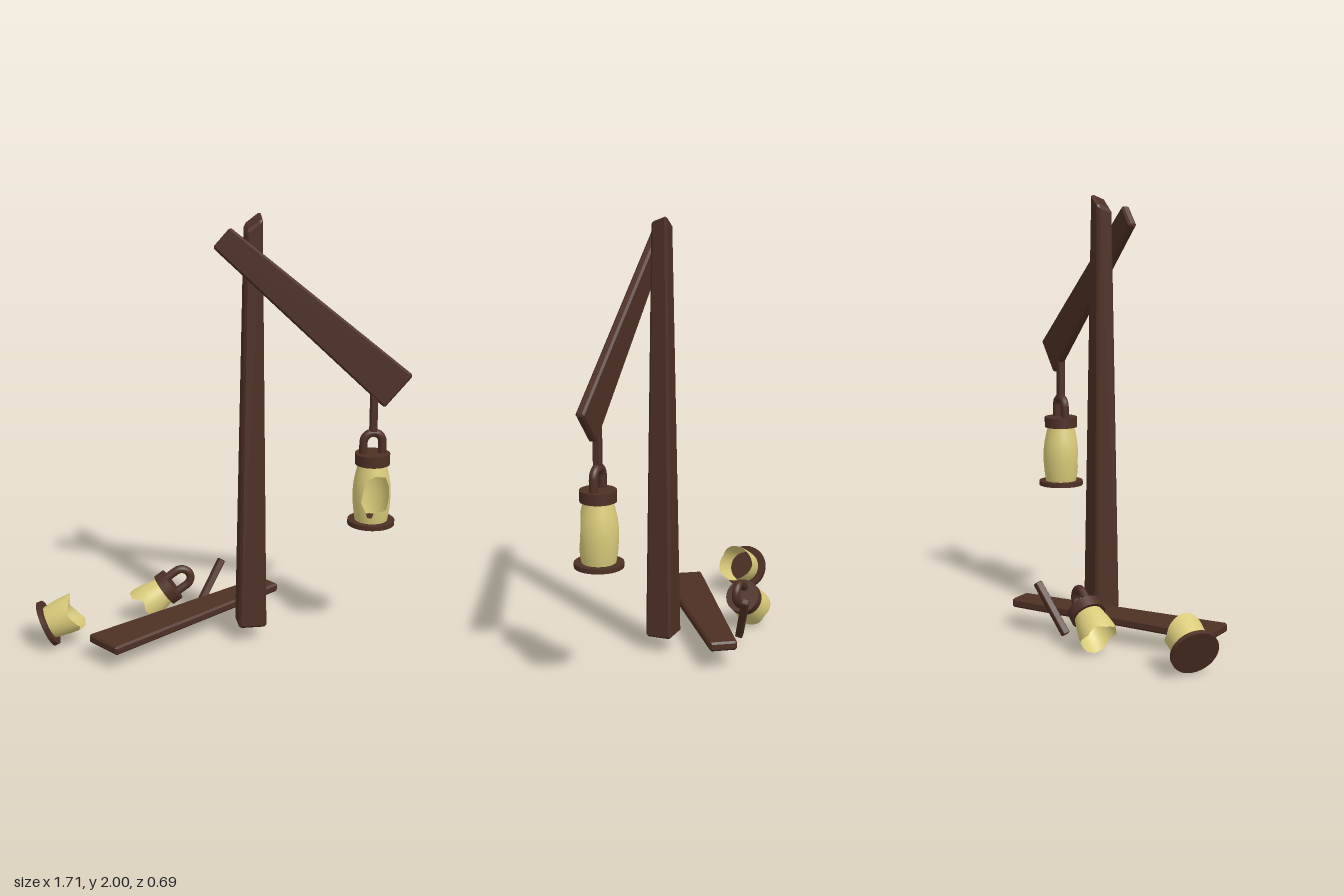
import * as THREE from 'three';
import { ConvexGeometry } from 'three/addons/geometries/ConvexGeometry.js';

const wood = new THREE.MeshStandardMaterial({ color: 0x4d3024 });
const glassMat = new THREE.MeshStandardMaterial({ color: 0xd9cb7a, side: THREE.DoubleSide });
const V = (x, y, z) => new THREE.Vector3(x, y, z);

function named(geometry, material, name) {
  const mesh = new THREE.Mesh(geometry, material);
  mesh.name = name;
  return mesh;
}

// Tapered, chamfered timber running between two points.
// start / end are [width, depth]; facing is the direction of the depth;
// slope tilts the far end cut along width and depth.
function timber(name, from, to, start, end, facing, bevel, slope = [0, 0]) {
  const axis = to.clone().sub(from);
  const length = axis.length();
  const points = [];
  for (const sx of [-1, 1]) for (const top of [0, 1]) for (const sz of [-1, 1]) {
    const [w, d] = top ? end : start;
    for (let full = 0; full < 3; full++) {
      const x = sx * (w / 2 - (full === 0 ? 0 : bevel));
      const z = sz * (d / 2 - (full === 2 ? 0 : bevel));
      const inset = full === 1 ? 0 : bevel;
      const y = top ? length - inset + x * slope[0] + z * slope[1] : inset;
      points.push(V(x, y, z));
    }
  }
  const mesh = named(new ConvexGeometry(points), wood, name);
  const yDir = axis.normalize();
  const xDir = yDir.clone().cross(facing).normalize();
  const zDir = xDir.clone().cross(yDir);
  mesh.quaternion.setFromRotationMatrix(new THREE.Matrix4().makeBasis(xDir, yDir, zDir));
  mesh.position.copy(from);
  return mesh;
}

// Lantern dimensions, measured up from the underside of its base
const GLASS_LOW = 0.015, GLASS_HIGH = 0.295;
const bulge = new THREE.SplineCurve([
  [0.071, 0], [0.081, 0.06], [0.087, 0.14], [0.082, 0.21], [0.064, 0.295],
].map(([r, y]) => new THREE.Vector2(r, y)));
const bulgePoints = bulge.getPoints(60).map((p) => [p.y, p.x]);

// Piecewise linear lookup in a list of [key, value]
function lookup(list, key) {
  for (let i = 1; i < list.length; i++) {
    const [k0, v0] = list[i - 1], [k1, v1] = list[i];
    if (key <= k1) return v0 + (v1 - v0) * Math.max(0, (key - k0) / (k1 - k0));
  }
  return list[list.length - 1][1];
}
const radius = (y) => lookup(bulgePoints, y);

// Curved pane of glass between two height outlines; angle 0 faces +z
function pane(name, a0, a1, low, high, cols) {
  const rows = 14, pos = [], nor = [], index = [];
  for (let i = 0; i <= cols; i++) {
    const a = a0 + (a1 - a0) * i / cols;
    const y0 = low(a), y1 = high(a);
    for (let j = 0; j <= rows; j++) {
      const y = y0 + (y1 - y0) * j / rows, r = radius(y);
      const slope = (radius(y + 0.01) - radius(y - 0.01)) / 0.02;
      const n = V(Math.sin(a), -slope, Math.cos(a)).normalize();
      pos.push(r * Math.sin(a), y, r * Math.cos(a));
      nor.push(n.x, n.y, n.z);
      if (i < cols && j < rows) {
        const p = i * (rows + 1) + j, q = p + rows + 1;
        index.push(p, q, q + 1, p, q + 1, p + 1);
      }
    }
  }
  const g = new THREE.BufferGeometry();
  g.setAttribute('position', new THREE.Float32BufferAttribute(pos, 3));
  g.setAttribute('normal', new THREE.Float32BufferAttribute(nor, 3));
  g.setIndex(index);
  return named(g, glassMat, name);
}

function disc(name, r, y0, y1) {
  const g = new THREE.CylinderGeometry(r, r, y1 - y0, 32);
  g.translate(0, (y0 + y1) / 2, 0);
  return named(g, wood, name);
}
const lanternBase = () => disc('lanternBase', 0.108, 0, 0.021);

// Cap with its U-shaped carrying loop
function lanternTop() {
  const top = new THREE.Group();
  top.name = 'lanternTop';
  const r = 0.044, bend = 0.392, path = new THREE.CurvePath();
  const arc = [];
  for (let i = 0; i <= 12; i++) {
    const a = Math.PI * (1 - i / 12);
    arc.push(V(r * Math.cos(a), bend + r * Math.sin(a), 0));
  }
  path.add(new THREE.LineCurve3(V(-r, 0.32, 0), arc[0]));
  path.add(new THREE.CatmullRomCurve3(arc));
  path.add(new THREE.LineCurve3(arc[12], V(r, 0.32, 0)));
  top.add(disc('lanternCap', 0.08, 0.29, 0.34),
    named(new THREE.TubeGeometry(path, 40, 0.0195, 12), wood, 'lanternLoop'));
  return top;
}

// Evenly spaced jagged heights around the rim
const jagged = (heights) => (a) =>
  lookup(heights.map((h, i) => [i / (heights.length - 1) * Math.PI * 2, h]), a);

export function createModel() {
  const model = new THREE.Group();
  model.name = 'lanternPost';
  const front = V(0, 0, 1);

  // Post with slanted top, the arm and the hanging rod
  model.add(
    timber('post', V(0.13, 0.075, 0.057), V(0.13, 1.97, 0.057),
      [0.13, 0.125], [0.076, 0.076], front, 0.011, [0.75, -0.4]),
    timber('arm', V(-0.018, 1.912, 0.121), V(0.788, 1.192, 0.121),
      [0.116, 0.04], [0.194, 0.04], front, 0.009),
    timber('hangingRod', V(0.677, 0.985, 0.121), V(0.677, 1.25, 0.121),
      [0.032, 0.034], [0.032, 0.034], front, 0.004),
  );

  // Fallen arm and fallen rod
  model.add(
    timber('fallenArm', V(0.283, 0.119, -0.3), V(-0.583, 0.102, 0.26),
      [0.126, 0.042], [0.202, 0.042], V(0, 1, 0), 0.009),
    timber('fallenRod', V(-0.082, 0.035, -0.238), V(0.05, 0.255, -0.315),
      [0.032, 0.034], [0.032, 0.034], front, 0.004),
  );

  // Hanging lantern with a broken opening in the front of the glass
  const holeLow = [[-0.82, 0.12], [-0.62, 0.09], [-0.45, 0.052], [-0.2, 0.052],
    [-0.1, 0.078], [0.69, 0.083], [0.91, 0.14]];
  const holeHigh = [[-0.82, 0.12], [-0.7, 0.17], [-0.6, 0.225], [-0.4, 0.237],
    [0, 0.25], [0.69, 0.24], [0.91, 0.195]];
  const bottom = () => GLASS_LOW, rim = () => GLASS_HIGH;
  const hanging = new THREE.Group();
  hanging.name = 'hangingLantern';
  hanging.add(lanternBase(), lanternTop(),
    pane('glassBack', 0.91, Math.PI * 2 - 0.82, bottom, rim, 48),
    pane('glassBelowHole', -0.82, 0.91, bottom, (a) => lookup(holeLow, a), 48),
    pane('glassAboveHole', -0.82, 0.91, (a) => lookup(holeHigh, a), rim, 48));
  hanging.position.set(0.677, 0.565, 0.121);
  model.add(hanging);

  // Upper half of a broken lantern
  const upper = new THREE.Group();
  upper.name = 'brokenLanternTop';
  upper.add(lanternTop(), pane('brokenGlassTop', 0, Math.PI * 2,
    jagged([0.17, 0.185, 0.16, 0.15, 0.155, 0.18, 0.165, 0.15, 0.17, 0.15, 0.152, 0.19, 0.17]),
    rim, 96));
  upper.position.set(-0.483, -0.01, -0.207);
  upper.rotation.z = -THREE.MathUtils.degToRad(55);
  model.add(upper);

  // Lower half of a broken lantern
  const lower = new THREE.Group();
  lower.name = 'brokenLanternBottom';
  lower.add(lanternBase(), pane('brokenGlassBottom', 0, Math.PI * 2, bottom,
    jagged([0.135, 0.15, 0.13, 0.158, 0.165, 0.14, 0.12, 0.14, 0.155, 0.165, 0.15, 0.125, 0.135]),
    96));
  lower.position.set(-0.82, 0.108, -0.001);
  lower.quaternion.setFromUnitVectors(V(0, 1, 0), V(0.9, 0.41, 0.1).normalize());
  model.add(lower);

  return model;
}
